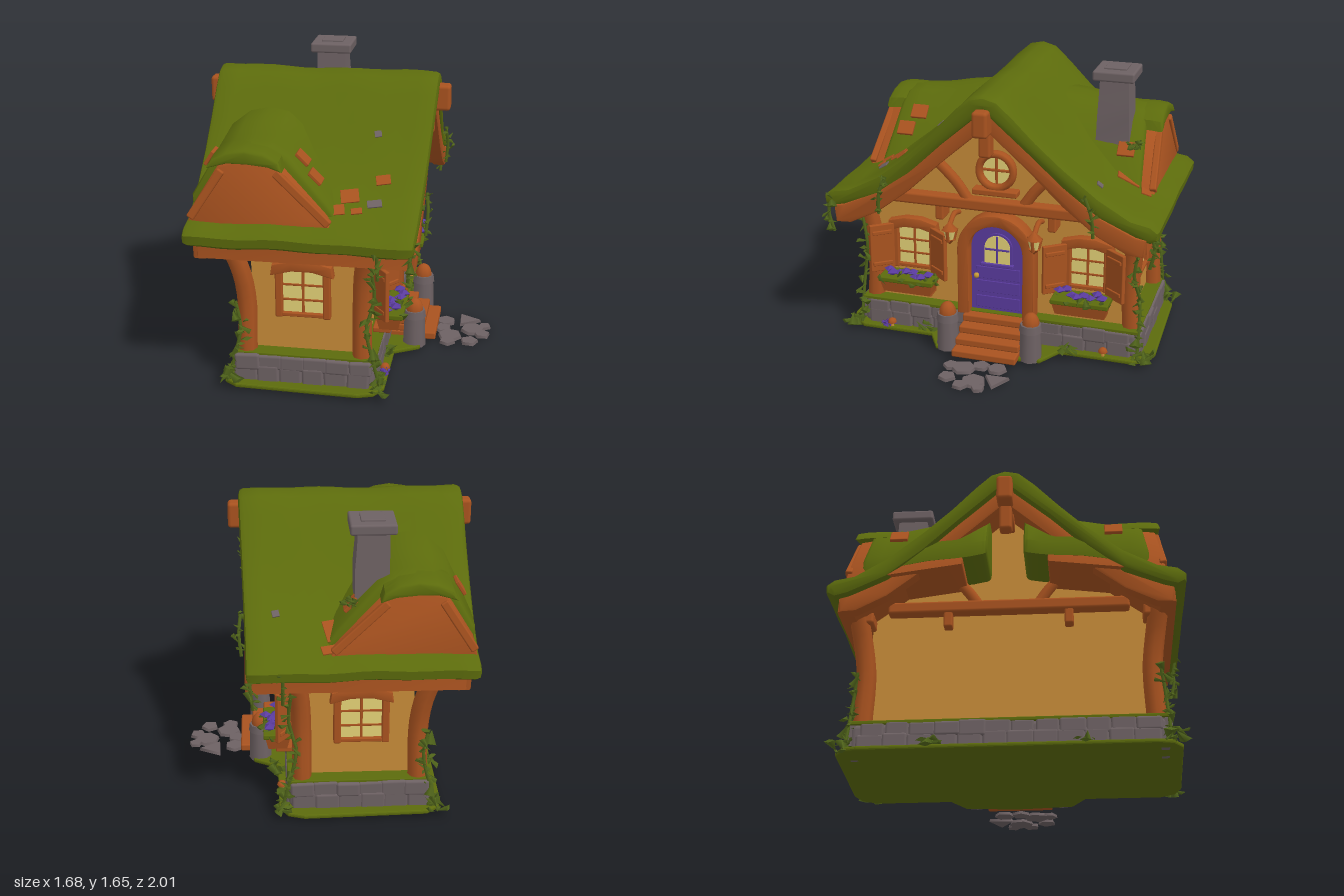
import * as THREE from 'three';
import { toCreasedNormals, mergeGeometries } from 'three/addons/utils/BufferGeometryUtils.js';
import { RoundedBoxGeometry } from 'three/addons/geometries/RoundedBoxGeometry.js';

const colour = (name, hex) => Object.assign(new THREE.MeshStandardMaterial({ color: hex }), { name });
const V = (x, y, z) => new THREE.Vector3(x, y, z);

export function createModel() {
  const moss = colour('moss', 0x5c6b0c), wood = colour('wood', 0xa8521f), plaster = colour('plaster', 0xc68b38);
  const stone = colour('stone', 0x6d6163), purple = colour('purple', 0x5a3b9e), glass = colour('glass', 0xe4d276);
  const leaf = colour('leaf', 0x50641a), brass = colour('brass', 0xc79a3a);

  let seed = 7;
  const rnd = (a, b) => { seed = (seed * 16807) % 2147483647; return a + (b - a) * seed / 2147483647; };

  const root = new THREE.Group();
  root.name = 'cottage';
  const group = (parent, name, x = 0, y = 0, z = 0, ry = 0) => {
    const g = new THREE.Group();
    g.name = name; g.position.set(x, y, z); g.rotation.y = ry; parent.add(g);
    return g;
  };
  const add = (parent, name, geo, mat, x = 0, y = 0, z = 0) => {
    const m = new THREE.Mesh(geo, mat);
    m.name = name; m.position.set(x, y, z); parent.add(m);
    return m;
  };
  const box = (parent, name, mat, w, h, d, x, y, z, rz = 0, ry = 0) => {
    const m = add(parent, name, new RoundedBoxGeometry(w, h, d, 2, Math.min(w, h, d) * 0.22), mat, x, y, z);
    m.rotation.set(0, ry, rz);
    return m;
  };
  const tube = (parent, name, mat, pts, r, sides = 8) =>
    add(parent, name, new THREE.TubeGeometry(new THREE.CatmullRomCurve3(pts.map(p => V(...p))), 10, r, sides), mat);
  const warp = (geo, fn) => {
    const p = geo.attributes.position, v = V(0, 0, 0);
    for (let i = 0; i < p.count; i++) { v.fromBufferAttribute(p, i); fn(v); p.setXYZ(i, v.x, v.y, v.z); }
    return toCreasedNormals(geo, 0.75);
  };
  const extrude = (shape, depth, bevel = 0, steps = 1) => {
    const g = new THREE.ExtrudeGeometry(shape, { depth: depth - 2 * bevel, steps, curveSegments: 12, bevelEnabled: bevel > 0,
      bevelThickness: bevel, bevelSize: bevel, bevelOffset: -bevel, bevelSegments: 2 });
    return g.translate(0, 0, bevel);
  };
  const shapeOf = pts => new THREE.Shape(pts.map(p => new THREE.Vector2(...p)));

  // ---- main roof: moss blanket, wooden deck and bargeboards
  const outer = [[0, 1.62], [0.08, 1.6], [0.17, 1.52], [0.3, 1.385], [0.45, 1.245], [0.65, 1.085], [0.83, 0.985], [0.94, 0.965]];
  const inner = [[0.86, 0.875], [0.65, 0.965], [0.45, 1.12], [0.25, 1.31], [0, 1.53]];
  const roofY = z => {
    const a = Math.abs(z), i = Math.max(1, outer.findIndex(p => p[0] >= a)), [p, q] = [outer[i - 1], outer[i]];
    return p[1] + (q[1] - p[1]) * (a - p[0]) / (q[0] - p[0]);
  };
  // symmetrical band: upper line from the ridge out, lower line from the eave back in
  const band = (up, low) => {
    const lowR = low.slice(0, -1).reverse(), upR = up.slice(1).reverse();
    const flip = a => a.map(([x, y]) => [-x, y]).reverse();
    return shapeOf([low[low.length - 1], ...lowR, ...upR, up[0], ...flip(upR), ...flip(lowR)]);
  };
  const sweepX = (shape, x0, x1, bevel, steps) =>
    extrude(shape, x1 - x0, bevel, steps).rotateY(Math.PI / 2).translate(x0, 0, 0);
  const ripple = v => {
    if (v.x > 0) v.x -= (1.62 - v.y) * 0.05 * v.x / 0.5;
    v.y += Math.sin(v.x * 7 + v.z * 3) * 0.004 + Math.sin(v.x * 15 - v.z * 9 + 2) * 0.004;
  };
  const roof = group(root, 'roof');
  add(roof, 'mossRoof', warp(sweepX(band([...outer, [0.985, 0.93], [0.98, 0.88]], [[0.935, 0.855], ...inner]), -0.78, 0.5, 0.03, 14), ripple), moss);
  const drop = (d, eave) => [...eave, ...inner.slice(1).map(([z, y]) => [z, y - d])];
  const deckTop = [[0, 1.55], [0.25, 1.33], [0.45, 1.14], [0.65, 0.985], [0.86, 0.89], [0.92, 0.88]];
  add(roof, 'roofDeck', toCreasedNormals(sweepX(band(deckTop, drop(0.04, [[0.925, 0.785], [0.84, 0.785]])), -0.71, 0.44, 0.01, 1), 0.6), wood);
  for (const x of [-0.735, 0.39])
    add(roof, 'bargeboard', toCreasedNormals(sweepX(band(deckTop, drop(0.1, [[0.91, 0.775], [0.82, 0.78]])), x, x + 0.08, 0.012, 1), 0.6), wood);
  for (const [x, s] of [[-0.77, -1], [0.49, 1]]) {
    box(roof, 'ridgeBeamEnd', wood, 0.14, 0.15, 0.09, x, 1.475, 0);
    box(roof, 'ridgeBracket', wood, 0.08, 0.2, 0.07, x - s * 0.06, 1.36, 0);
  }
  box(roof, 'ridgeBeam', wood, 1.2, 0.08, 0.07, -0.14, 1.44, 0);

  // bare tile patches showing through the moss
  for (const [x, z, w, d, m] of [[0.25, 0.57, 0.08, 0.06, wood], [0.08, 0.66, 0.1, 0.09, wood], [0.02, 0.75, 0.09, 0.07, wood], [0.13, 0.75, 0.06, 0.04, wood],
    [0.22, 0.7, 0.08, 0.05, stone], [0.19, 0.35, 0.04, 0.04, stone], [0.3, -0.62, 0.04, 0.04, stone], [0.0, -0.72, 0.08, 0.14, wood], [0.02, -0.83, 0.08, 0.06, wood]]) {
    const slope = Math.atan2(roofY(z + 0.03) - roofY(z - 0.03), 0.06);
    box(roof, 'tilePatch', m, w, 0.009, d, x, roofY(z) + 0.006, z).rotation.set(-slope, 0.2, 0);
  }

  // ---- walls, jettied front gable, ground and stone footing
  const gableTop = [[0.65, 0.93], [0.45, 1.08], [0.25, 1.27], [0, 1.49], [-0.25, 1.27], [-0.45, 1.08], [-0.65, 0.93]];
  add(root, 'walls', sweepX(shapeOf([[-0.77, 0.15], [0.77, 0.15], [0.77, 0.88], ...gableTop, [-0.77, 0.88]]), -0.45, 0.17, 0, 1), plaster);
  add(root, 'frontGable', sweepX(shapeOf([[-0.65, 0.88], [0.65, 0.88], ...gableTop]), 0.16, 0.22, 0, 1), plaster);

  const ground = shapeOf([[-0.52, -0.93], [0.16, -0.95], [0.25, -0.92], [0.3, -0.84], [0.3, -0.4], [0.44, -0.32], [0.47, 0], [0.44, 0.32], [0.3, 0.4],
    [0.3, 0.84], [0.25, 0.92], [0.16, 0.95], [-0.52, 0.93], [-0.59, 0.88], [-0.61, 0.8], [-0.61, -0.8], [-0.59, -0.88]]);
  add(root, 'ground', extrude(ground, 0.025, 0.008).rotateX(-Math.PI / 2).translate(0, 0.015, 0), moss);

  const footing = group(root, 'footing');
  box(footing, 'footingCore', stone, 0.79, 0.17, 1.71, -0.15, 0.11, 0);
  box(footing, 'mossLedge', moss, 0.8, 0.022, 1.72, -0.15, 0.195, 0);
  const stoneRow = (n, len, place) => {
    for (const [y, h, o] of [[0.075, 0.1, 0], [0.15, 0.08, 0.3]])
      for (let i = 0; i < n; i++) {
        const t = ((i + 0.5) / n - 0.5) * len + o * len / n * 0.3, s = len / n * rnd(0.95, 1.15);
        place(t, y, s, h + rnd(0, 0.02));
      }
  };
  for (const s of [-1, 1]) {
    stoneRow(6, 0.76, (t, y, w, h) => box(footing, 'sideStone', stone, w, h, 0.07, -0.16 + t, y, s * rnd(0.835, 0.845), rnd(-0.05, 0.05)));
    stoneRow(12, 1.62, (t, y, w, h) => box(footing, 'longStone', stone, 0.07, h, w, s > 0 ? rnd(0.215, 0.225) : -rnd(0.515, 0.525), y, t));
  }

  // ---- corner posts and eave beams
  for (const s of [-1, 1]) {
    tube(root, 'frontPost', wood, [[0.17, 0.19, s * 0.8], [0.17, 0.5, s * 0.79], [0.18, 0.7, s * 0.81], [0.21, 0.86, s * 0.85]], 0.054);
    tube(root, 'backPost', wood, [[-0.475, 0.19, s * 0.8], [-0.475, 0.5, s * 0.79], [-0.5, 0.68, s * 0.81], [-0.56, 0.86, s * 0.84]], 0.055);
    box(root, 'wallPlate', wood, 0.85, 0.07, 0.08, -0.15, 0.82, s * 0.79);
  }

  // ---- small window: glass, bars, jambs and bowed lintel, facing local +z
  const makeWindow = (parent, name, x, y, z, w, h) => {
    const g = group(parent, name, x, y, z);
    box(g, 'glass', glass, w, h, 0.008, 0, h / 2, 0.006);
    for (const s of [-1, 1]) box(g, 'jamb', wood, 0.042, h + 0.03, 0.05, s * (w / 2 + 0.018), h / 2, 0.01);
    box(g, 'sill', wood, w, 0.022, 0.045, 0, 0.003, 0.01);
    box(g, 'upright', wood, 0.015, h, 0.014, 0, h / 2, 0.008);
    for (const t of [0.34, 0.68]) box(g, 'crossbar', wood, w, 0.013, 0.014, 0, h * t, 0.008);
    const bow = [[-w / 2 - 0.06, h - 0.02], [-w / 4, h + 0.01], [w / 4, h + 0.01], [w / 2 + 0.06, h - 0.02], [w / 2 + 0.05, h + 0.045],
      [w / 4, h + 0.072], [-w / 4, h + 0.072], [-w / 2 - 0.05, h + 0.045]];
    add(g, 'lintel', toCreasedNormals(extrude(shapeOf(bow), 0.07, 0.008), 0.6), wood, 0, 0, -0.015);
    return g;
  };

  // ---- each side: window and dormer, mirrored across z
  for (const s of [-1, 1]) {
    const side = group(root, s > 0 ? 'leftwardSide' : 'rearwardSide');
    side.scale.z = s;
    makeWindow(side, 'sideWindow', -0.16, 0.42, 0.77, 0.23, 0.26);
    const lean = v => { v.z += (1.3 - v.y) * 0.12 * (v.z > 0.5 ? 1 : 0); v.y += Math.max(0, 0.84 - v.z) * 0.13; };
    const gable = shapeOf([[-0.77, 0.95], [0.03, 0.95], [-0.03, 1.02], [-0.28, 1.28], [-0.4, 1.32], [-0.48, 1.32], [-0.6, 1.28], [-0.75, 1.04]]);
    add(side, 'dormerGable', warp(extrude(gable, 0.6, 0.01, 3).translate(0, 0, 0.235), lean), wood);
    for (const [a, b] of [[[-0.755, 0.99], [-0.58, 1.26]], [[0.0, 0.99], [-0.29, 1.26]]]) {
      const dx = b[0] - a[0], dy = b[1] - a[1];
      box(side, 'dormerTrim', wood, Math.hypot(dx, dy), 0.045, 0.04, (a[0] + b[0]) / 2, (a[1] + b[1]) / 2, 0.85, Math.atan2(dy, dx)).rotation.x = -0.1;
    }
    const blanket = shapeOf([[-0.76, 1.0], [0.05, 1.0], [-0.02, 1.09], [-0.24, 1.3], [-0.33, 1.345], [-0.44, 1.36], [-0.55, 1.345], [-0.64, 1.29], [-0.765, 1.08]]);
    add(side, 'dormerMoss', warp(extrude(blanket, 0.66, 0.025, 8).translate(0, 0, 0.1), v => {
      lean(v);
      v.y += Math.sin(v.z * 14 + v.x * 6) * 0.006;
      if (v.x > -0.2) v.y -= (v.x + 0.2) * 0.1;
    }), moss);
    const lobe = shapeOf([[-0.66, 1.27], [-0.55, 1.3], [-0.44, 1.3], [-0.33, 1.29], [-0.25, 1.265], [-0.27, 1.32], [-0.35, 1.36], [-0.45, 1.375], [-0.55, 1.36], [-0.63, 1.325]]);
    add(side, 'dormerMossLip', warp(extrude(lobe, 0.28, 0.015, 5).translate(0, 0, 0.58), v => { lean(v); v.y -= Math.max(0, 0.78 - v.z) * 0.15; }), moss);
    for (const [x, y, z, r] of [[-0.18, 1.275, 0.62, -0.78], [-0.1, 1.19, 0.68, -0.78], [-0.7, 1.25, 0.6, 1.0]])
      box(side, 'dormerTiles', wood, 0.09, 0.02, 0.1, x, y + 0.004, z, r);
  }

  // ---- entrance front, built facing local +z and turned towards +x
  const front = group(root, 'entranceFront', 0.17, 0, 0, Math.PI / 2);
  const arch = (hw, y0, top) => {
    const s = new THREE.Shape();
    s.moveTo(-hw, y0); s.lineTo(hw, y0); s.lineTo(hw, top - hw); s.absarc(0, top - hw, hw, 0, Math.PI, false);
    return s;
  };
  const frame = new THREE.Shape();
  frame.moveTo(-0.165, 0.19); frame.lineTo(-0.235, 0.19); frame.lineTo(-0.235, 0.605);
  frame.absarc(0, 0.605, 0.235, Math.PI, 0, true);
  frame.lineTo(0.235, 0.19); frame.lineTo(0.165, 0.19); frame.lineTo(0.165, 0.605);
  frame.absarc(0, 0.605, 0.165, 0, Math.PI, false);
  add(front, 'doorFrame', toCreasedNormals(extrude(frame, 0.11, 0.01), 0.6), wood);
  add(front, 'door', extrude(arch(0.172, 0.19, 0.777), 0.045), purple);
  for (const y of [0.26, 0.36, 0.45]) box(front, 'doorPanel', purple, 0.27, 0.075, 0.012, 0, y, 0.045);
  add(front, 'doorWindowFrame', extrude(arch(0.09, 0.505, 0.71), 0.012), purple, 0, 0, 0.045);
  add(front, 'doorGlass', extrude(arch(0.078, 0.522, 0.698), 0.008), glass, 0, 0, 0.053);
  box(front, 'doorBar', purple, 0.012, 0.17, 0.012, 0, 0.61, 0.06);
  box(front, 'doorBar', purple, 0.15, 0.012, 0.012, 0, 0.61, 0.06);
  box(front, 'doorSill', purple, 0.2, 0.02, 0.03, 0, 0.512, 0.06);
  add(front, 'doorKnob', new THREE.SphereGeometry(0.017, 10, 8), brass, -0.13, 0.43, 0.06);
  for (let i = 0; i < 4; i++) box(front, 'step', wood, 0.39, 0.045, 0.34 - i * 0.07, 0, 0.045 + i * 0.044, (0.34 - i * 0.07) / 2 + 0.01);

  // gable timbers and round window
  const timbers = g => {
    box(g, 'tieBeam', wood, 1.36, 0.07, 0.08, 0, 0.9, 0.03);
    for (const s of [-1, 1]) {
      tube(g, 'gableBrace', wood, [[s * 0.17, 0.92, 0.03], [s * 0.24, 1.02, 0.03], [s * 0.38, 1.16, 0.03]], 0.032);
      box(g, 'corbel', wood, 0.05, 0.1, 0.12, s * 0.34, 0.83, 0.0);
    }
  };
  const upper = group(front, 'upperGable', 0, 0, 0.05);
  timbers(upper);
  timbers(group(root, 'backTimbers', -0.45, 0, 0, -Math.PI / 2));
  add(upper, 'roundWindowFrame', new THREE.TorusGeometry(0.102, 0.022, 8, 28).scale(1, 1, 1.5), wood, 0, 1.11, 0.025);
  add(upper, 'roundGlass', new THREE.CircleGeometry(0.1, 24), glass, 0, 1.11, 0.012);
  box(upper, 'roundBar', wood, 0.014, 0.19, 0.016, 0, 1.11, 0.016);
  box(upper, 'roundBar', wood, 0.19, 0.014, 0.016, 0, 1.11, 0.016);
  box(upper, 'roundSill', wood, 0.27, 0.035, 0.08, 0, 0.985, 0.03);

  // leaves gathered per plant as one mesh
  const leafAt = (p, size) => new THREE.ConeGeometry(size * 0.42, size, 4).scale(1, 1, 0.35).rotateX(rnd(0.6, 2.6)).rotateY(rnd(0, 6.28)).translate(p.x, p.y, p.z);
  const cluster = (parent, name, mat, n, size, at) => add(parent, name, mergeGeometries(Array.from({ length: n }, (_, i) => leafAt(at(i / n), size * rnd(0.7, 1.2)))), mat);

  for (const s of [-1, 1]) {
    const w = makeWindow(front, 'frontWindow', s * 0.535, 0.42, 0, 0.2, 0.25);
    for (const k of [-1, 1]) {
      box(w, 'shutter', wood, 0.15, 0.3, 0.025, k * 0.18, 0.13, 0.09, 0, -k * 0.65);
      for (const y of [0.03, 0.23]) box(w, 'shutterBatten', wood, 0.12, 0.025, 0.038, k * 0.18, y, 0.092, 0, -k * 0.65);
    }
    // flower box with mossy rim
    const fb = group(front, 'flowerBox', s * 0.53, 0.35, 0.13);
    add(fb, 'trough', warp(new THREE.BoxGeometry(0.33, 0.08, 0.14), v => { if (v.y < 0) { v.x *= 0.88; v.z *= 0.75; } }), wood);
    box(fb, 'mossRim', moss, 0.34, 0.03, 0.16, 0, 0.045, 0);
    box(fb, 'troughBracket', wood, 0.28, 0.03, 0.1, 0, -0.05, -0.04);
    cluster(fb, 'boxLeaves', leaf, 24, 0.06, () => V(rnd(-0.17, 0.17), rnd(0.03, 0.07), rnd(-0.05, 0.09)));
    for (let i = 0; i < 8; i++)
      add(fb, 'blossom', new THREE.OctahedronGeometry(0.038).scale(1, 0.6, 1).rotateY(i), purple, -0.13 + i * 0.037, rnd(0.07, 0.095), rnd(-0.02, 0.075));
    // lantern with ribs
    const l = group(front, 'lantern', s * 0.255, 0.72, 0.17);
    tube(l, 'lanternArm', wood, [[0, 0.08, -0.17], [0, 0.1, -0.08], [0, 0.06, 0]], 0.016);
    add(l, 'lanternCap', new THREE.ConeGeometry(0.05, 0.055, 6), wood, 0, 0.06, 0);
    add(l, 'lanternGlass', new THREE.CylinderGeometry(0.038, 0.022, 0.065, 6), glass, 0, 0, 0);
    for (let i = 0; i < 3; i++) {
      const a = i * 2.094;
      tube(l, 'lanternRib', wood, [[Math.sin(a) * 0.044, 0.04, Math.cos(a) * 0.044], [Math.sin(a) * 0.026, -0.034, Math.cos(a) * 0.026]], 0.01, 5);
    }
    add(l, 'lanternBase', new THREE.ConeGeometry(0.036, 0.035, 6).rotateX(Math.PI), wood, 0, -0.042, 0);
    // step pillar
    const p = group(front, 'stepPillar', s * 0.255, 0, 0.23);
    add(p, 'pillarShaft', new THREE.CylinderGeometry(0.06, 0.068, 0.2, 9), stone, 0, 0.12, 0);
    add(p, 'pillarHead', new THREE.CylinderGeometry(0.062, 0.068, 0.045, 9), stone, 0, 0.225, 0);
    add(p, 'pillarFinial', new THREE.SphereGeometry(0.052, 9, 6, 0, 6.2832, 0, 1.6).scale(1, 1.4, 1), wood, 0, 0.245, 0);
  }

  // ---- chimney
  const chimney = group(root, 'chimney', -0.22, 0, -0.59);
  add(chimney, 'shaft', warp(new THREE.CylinderGeometry(0.12, 0.15, 0.56, 4, 5).rotateY(Math.PI / 4), v => { v.x += Math.sin(v.y * 20) * 0.004; }), stone, 0, 1.31, 0);
  box(chimney, 'cap', stone, 0.25, 0.06, 0.245, 0, 1.615, 0);
  box(chimney, 'capTop', stone, 0.13, 0.02, 0.13, 0, 1.645, 0);

  // ---- climbing vines, hanging strands and tufts
  const plants = group(root, 'plants');
  const vine = (pts, n, size) => {
    const c = new THREE.CatmullRomCurve3(pts.map(p => V(...p)));
    tube(plants, 'vineStem', leaf, pts, 0.01, 5);
    cluster(plants, 'vineLeaves', leaf, n, size, t => c.getPoint(t).add(V(rnd(-0.025, 0.025), 0, rnd(-0.025, 0.025))));
  };
  for (const s of [-1, 1]) {
    vine([[0.28, 0.04, s * 0.86], [0.24, 0.2, s * 0.86], [0.2, 0.4, s * 0.85], [0.24, 0.55, s * 0.82], [0.22, 0.78, s * 0.86]], 22, 0.07);
    vine([[-0.57, 0.04, s * 0.87], [-0.53, 0.2, s * 0.86], [-0.5, 0.35, s * 0.85], [-0.53, 0.5, s * 0.83]], 18, 0.07);
    vine([[0.45, 0.93, s * 0.94], [0.44, 0.82, s * 0.965], [0.43, 0.7, s * 0.94]], 8, 0.06);
    vine([[0.49, 1.1, s * 0.58], [0.5, 1.0, s * 0.62], [0.49, 0.87, s * 0.63]], 8, 0.055);
    vine([[0.27, 0.92, s * 0.97], [0.27, 0.8, s * 0.95], [0.27, 0.72, s * 0.93]], 6, 0.055);
    for (const [x, z] of [[-0.57, 0.89], [0.27, 0.9], [0.28, 0.45], [-0.57, 0.4]])
      cluster(plants, 'tuft', leaf, 7, 0.08, () => V(x + rnd(-0.04, 0.04), rnd(0.04, 0.09), s * z + rnd(-0.04, 0.04)));
    add(plants, 'mushroomCap', new THREE.SphereGeometry(0.028, 8, 5, 0, 6.2832, 0, 1.6), wood, 0.28, 0.065, s * 0.66);
    add(plants, 'mushroomStem', new THREE.CylinderGeometry(0.01, 0.012, 0.04, 6), plaster, 0.28, 0.05, s * 0.66);
  }
  cluster(plants, 'groundFlowers', purple, 8, 0.05, () => V(0.28 + rnd(-0.02, 0.02), 0.06, 0.68 + rnd(-0.03, 0.03)));
  cluster(plants, 'roofSprigs', leaf, 12, 0.055, () => V(-0.1 + rnd(-0.05, 0.05), 1.22, -0.73 + rnd(-0.04, 0.04)));

  // ---- stepping stones
  for (const [x, z, r, n, a] of [[0.56, -0.1, 0.06, 6, 0], [0.69, -0.13, 0.085, 3, 1.6], [0.55, 0.0, 0.055, 5, 1], [0.6, 0.09, 0.075, 6, 0.3], [0.73, -0.01, 0.075, 6, 0.8],
    [0.8, -0.06, 0.04, 5, 0], [0.79, 0.05, 0.05, 5, 2], [0.72, 0.15, 0.055, 5, 0.5], [0.59, 0.17, 0.05, 5, 1.4]])
    add(root, 'steppingStone', new THREE.CylinderGeometry(r * 0.92, r, 0.018, n).rotateY(a), stone, x, 0.009, z);

  return root;
}
